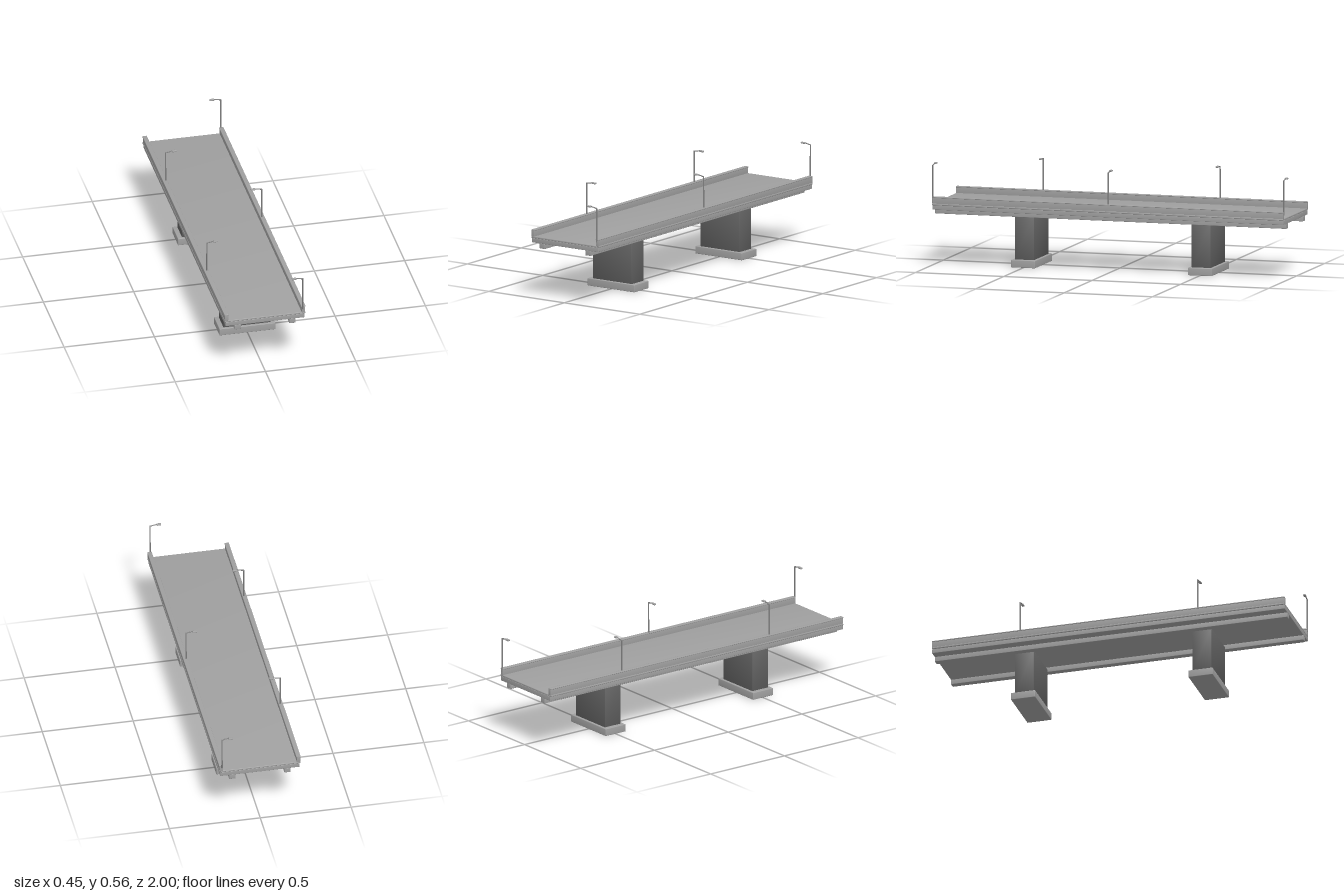
import * as THREE from 'three';
import { RoundedBoxGeometry } from 'three/addons/geometries/RoundedBoxGeometry.js';

const concrete = new THREE.MeshStandardMaterial({ color: 0xa0a0a0 });
const darkConcrete = new THREE.MeshStandardMaterial({ color: 0x626262 });
const metal = new THREE.MeshStandardMaterial({ color: 0x808080 });
const LENGTH = 1.986;

// Softly bevelled block given by its x, y and z limits;
// softness leans the normals outwards for smooth shading across the faces
function block(name, [x0, x1], [y0, y1], [z0, z1], { bevel = 0.002, softness = 0.12, material = concrete } = {}) {
  const size = new THREE.Vector3(x1 - x0, y1 - y0, z1 - z0);
  const geometry = new RoundedBoxGeometry(size.x, size.y, size.z, 2, bevel);
  const { position, normal } = geometry.attributes;
  const p = new THREE.Vector3();
  const n = new THREE.Vector3();
  for (let i = 0; i < position.count; i++) {
    p.fromBufferAttribute(position, i).divide(size).multiplyScalar(2 * softness);
    n.fromBufferAttribute(normal, i).add(p).normalize();
    normal.setXYZ(i, n.x, n.y, n.z);
  }
  const mesh = new THREE.Mesh(geometry, material);
  mesh.position.set((x0 + x1) / 2, (y0 + y1) / 2, (z0 + z1) / 2);
  mesh.name = name;
  return mesh;
}

// Tapered round rod between two points
function rod(name, from, to, r0, r1) {
  const dir = to.clone().sub(from);
  const mesh = new THREE.Mesh(new THREE.CylinderGeometry(r1, r0, dir.length(), 16), metal);
  mesh.position.copy(from).add(to).multiplyScalar(0.5);
  mesh.quaternion.setFromUnitVectors(new THREE.Vector3(0, 1, 0), dir.normalize());
  mesh.name = name;
  return mesh;
}

// Street lamp whose arm reaches towards +x
function streetLamp() {
  const lamp = new THREE.Group();
  lamp.name = 'streetLamp';
  const elbow = new THREE.Vector3(0, 0.546, 0);
  lamp.add(rod('lampPole', new THREE.Vector3(0, 0.358, 0), elbow, 0.0042, 0.0038));
  const joint = new THREE.Mesh(new THREE.SphereGeometry(0.0038, 16, 10), metal);
  joint.position.copy(elbow);
  joint.name = 'lampElbow';
  lamp.add(joint);
  lamp.add(rod('lampArm', elbow, new THREE.Vector3(0.04, 0.554, 0), 0.0032, 0.0024));
  lamp.add(block('lampHead', [0.036, 0.061], [0.547, 0.556], [-0.007, 0.007], { bevel: 0.003 }));
  return lamp;
}

export function createModel() {
  const bridge = new THREE.Group();
  bridge.name = 'bridge';
  const along = [-LENGTH / 2, LENGTH / 2];

  // Deck
  bridge.add(block('deckSlab', [-0.219, 0.219], [0.305, 0.33], along));
  bridge.add(block('roadSurface', [-0.224, 0.224], [0.329, 0.339], along, { bevel: 0.003 }));

  // Parapets and girders on both sides
  for (const side of [-1, 1]) {
    const span = (a, b) => (side > 0 ? [a, b] : [-b, -a]);
    bridge.add(block('parapet', span(0.203, 0.222), [0.337, 0.372], along));
    bridge.add(block('parapetCap', span(0.2, 0.2245), [0.37, 0.376], along));
    bridge.add(block('girder', span(0.134, 0.169), [0.278, 0.306], along));
  }

  // Piers on their footings
  for (const z of [-0.5, 0.5]) {
    const pier = new THREE.Group();
    pier.name = 'pier';
    pier.add(block('pierWall', [-0.13, 0.13], [0.038, 0.289], [-0.054, 0.054],
      { softness: 0.35, material: darkConcrete }));
    pier.add(block('pierFooting', [-0.155, 0.155], [0, 0.041], [-0.068, 0.068], { bevel: 0.003 }));
    pier.position.z = z;
    bridge.add(pier);
  }

  // Lamps staggered along the two parapets, arms over the road
  for (const [x, z] of [[0.209, -0.993], [-0.209, -0.5], [0.209, 0], [-0.209, 0.5], [0.209, 0.993]]) {
    const lamp = streetLamp();
    lamp.position.set(x, 0, z);
    lamp.rotation.y = x > 0 ? Math.PI : 0;
    bridge.add(lamp);
  }

  return bridge;
}
